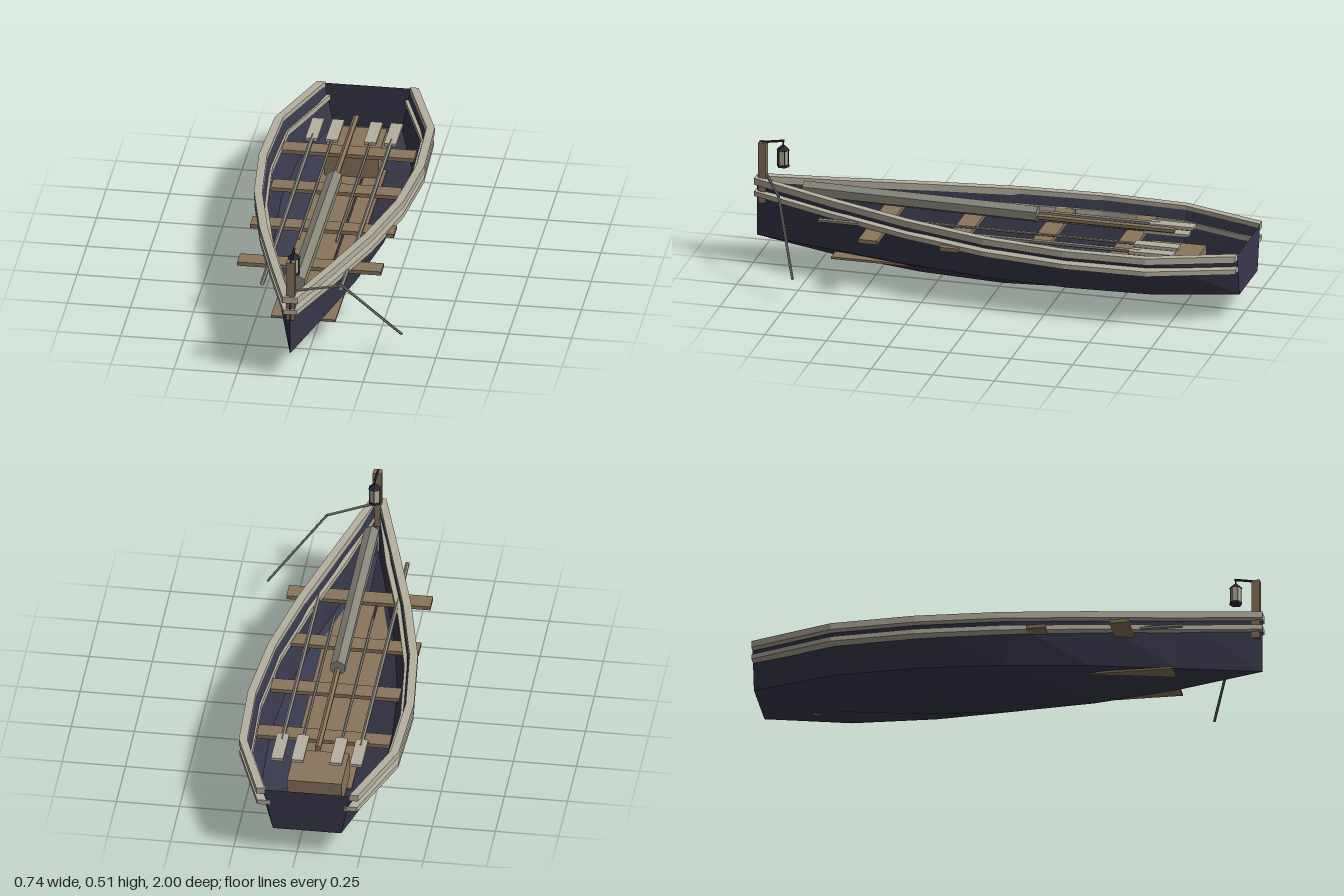
import * as THREE from 'three';

const CX = -0.04; // centreline of the boat

const makeMaterial = (name, color, extra = {}) =>
  Object.assign(new THREE.MeshStandardMaterial({ color, flatShading: true, ...extra }), { name });

// Hull stations: z, sheer half width, chine half width, sheer height, keel height
const STATIONS = [
  [-1.0, 0.172, 0.135, 0.281, 0.104],
  [-0.667, 0.288, 0.225, 0.281, 0.05],
  [-0.333, 0.3, 0.24, 0.284, 0.015],
  [0, 0.268, 0.215, 0.291, 0.002],
  [0.333, 0.195, 0.16, 0.304, 0.015],
  [0.667, 0.1, 0.082, 0.322, 0.05],
  [0.995, 0.001, 0.001, 0.345, 0.104],
];
const CHINE_Y = 0.104;

// Joins cross-sections (counter-clockwise seen from +z, ordered by rising z)
function loft(sections, closed, capStart, capEnd) {
  const pos = [];
  const tri = (a, b, c) => pos.push(...a, ...b, ...c);
  const n = sections[0].length;
  for (let i = 0; i < sections.length - 1; i++) {
    for (let j = 0; j < (closed ? n : n - 1); j++) {
      const k = (j + 1) % n;
      const a = sections[i][j], b = sections[i][k], c = sections[i + 1][k], d = sections[i + 1][j];
      tri(a, b, c);
      tri(a, c, d);
    }
  }
  const first = sections[0], last = sections[sections.length - 1];
  for (let j = 1; j < n - 1; j++) {
    if (capStart) tri(first[0], first[j + 1], first[j]);
    if (capEnd) tri(last[0], last[j], last[j + 1]);
  }
  const g = new THREE.BufferGeometry();
  g.setAttribute('position', new THREE.Float32BufferAttribute(pos, 3));
  g.computeVertexNormals();
  return g;
}

export function createModel() {
  const navy = makeMaterial('navy hull paint', 0x38384c, { side: THREE.DoubleSide });
  const trim = makeMaterial('pale trim', 0xb5b09f);
  const wood = makeMaterial('brown wood', 0x8a755c);
  const canvas = makeMaterial('grey canvas', 0x87857a);
  const iron = makeMaterial('dark iron', 0x2c2c3a);

  const boat = new THREE.Group();
  boat.name = 'rowingBoat';

  const add = (name, geometry, material, x = 0, y = 0, z = 0) => {
    const mesh = new THREE.Mesh(geometry, material);
    mesh.name = name;
    mesh.position.set(x, y, z);
    boat.add(mesh);
    return mesh;
  };
  // Box given by its extents
  const box = (name, material, x0, x1, y0, y1, z0, z1) =>
    add(name, new THREE.BoxGeometry(x1 - x0, y1 - y0, z1 - z0), material,
      (x0 + x1) / 2, (y0 + y1) / 2, (z0 + z1) / 2);
  // Rod between two points
  const rod = (name, material, from, to, radius, sides = 6) => {
    const a = new THREE.Vector3(...from), b = new THREE.Vector3(...to);
    const dir = b.clone().sub(a);
    const mesh = add(name, new THREE.CylinderGeometry(radius, radius, dir.length(), sides), material);
    mesh.position.copy(a).add(b).multiplyScalar(0.5);
    mesh.quaternion.setFromUnitVectors(new THREE.Vector3(0, 1, 0), dir.normalize());
    return mesh;
  };

  // Open hull with a hard chine, V bottom and flat transom
  add('hull', loft(STATIONS.map(([z, w, c, sheer, keel]) => [
    [CX - w, sheer, z], [CX - c, CHINE_Y, z], [CX, keel, z], [CX + c, CHINE_Y, z], [CX + w, sheer, z],
  ]), false, true, false), navy);

  // Gunwale and rubbing strake on both sides
  const strip = (name, side, inner, outer, top, height) => {
    const sections = STATIONS.map(([z, w, , sheer]) => {
      const x0 = Math.max(w + inner, 0), x1 = Math.max(w + outer, 0.022);
      const y1 = sheer + top, y0 = y1 - height;
      const ring = [[x0, y0], [x1, y0], [x1, y1], [x0, y1]].map(([x, y]) => [CX + side * x, y, z]);
      return side > 0 ? ring : ring.reverse();
    });
    sections[sections.length - 1].forEach((p) => { p[2] = 1; });
    add(name, loft(sections, true, true, true), trim);
  };
  for (const [side, label] of [[1, 'left'], [-1, 'right']]) {
    strip(label + 'Gunwale', side, -0.004, 0.029, 0.006, 0.027);
    strip(label + 'RubbingStrake', side, -0.025, 0.026, -0.05, 0.02);
  }

  // Thwarts across the boat
  for (const [z, half] of [[-0.52, 0.263], [-0.19, 0.255], [0.14, 0.285], [0.47, 0.285]]) {
    box('thwart', wood, CX - half, CX + half, 0.223, 0.239, z - 0.038, z + 0.038);
  }

  // Floor boards
  for (const dx of [-0.088, 0, 0.088]) {
    box('floorBoard', wood, CX + dx - 0.04, CX + dx + 0.04, 0.083, 0.092, -0.66, 0.66);
  }

  // Stern locker
  box('sternLocker', wood, CX - 0.108, CX + 0.108, 0.09, 0.2, -0.8, -0.58);

  // Oars, blades toward the stern
  for (const side of [-1, 1]) {
    for (const [dx, end, r] of [[0.156, 0.7, 0.009], [0.076, 0.3, 0.006]]) {
      const x = CX + side * dx;
      rod('oarShaft', canvas, [x, 0.252, -0.6], [x, 0.252, end], r);
      box('oarBlade', trim, x - 0.024, x + 0.024, 0.246, 0.258, -0.74, -0.56);
    }
    rod('oarGripEnd', trim, [CX + side * 0.156, 0.252, 0.698], [CX + side * 0.156, 0.252, 0.703], 0.0092);
  }

  // Stowed mast and furled sail
  rod('mast', wood, [CX, 0.292, -0.7], [CX, 0.3, 0.78], 0.013);
  rod('furledSail', canvas, [CX, 0.305, -0.145], [CX, 0.317, 0.805], 0.033);

  // Bow post with lantern arm
  box('bowPost', wood, CX - 0.0175, CX + 0.0175, 0.245, 0.495, 0.956, 0.988);
  rod('lanternArm', iron, [CX, 0.493, 0.985], [CX, 0.509, 0.885], 0.005);
  rod('lanternHook', iron, [CX, 0.511, 0.89], [CX, 0.485, 0.89], 0.003);

  // Lantern
  add('lanternBase', new THREE.CylinderGeometry(0.025, 0.025, 0.01, 6), iron, CX, 0.406, 0.89);
  add('lanternGlass', new THREE.CylinderGeometry(0.022, 0.022, 0.062, 6), trim, CX, 0.441, 0.89);
  add('lanternRoof', new THREE.ConeGeometry(0.027, 0.024, 6), iron, CX, 0.483, 0.89);
  for (let i = 0; i < 6; i++) {
    const a = (i / 6) * Math.PI * 2;
    add('lanternBar', new THREE.BoxGeometry(0.003, 0.064, 0.003), iron,
      CX + Math.sin(a) * 0.022, 0.441, 0.89 + Math.cos(a) * 0.022);
  }

  // Mooring line hanging off the bow
  const line = [[CX, 0.358, 0.955], [0.145, 0.346, 0.858], [0.364, 0.092, 0.742]];
  rod('mooringLineUpper', canvas, line[0], line[1], 0.0055);
  rod('mooringLineLower', canvas, line[1], line[2], 0.0055);

  return boat;
}
